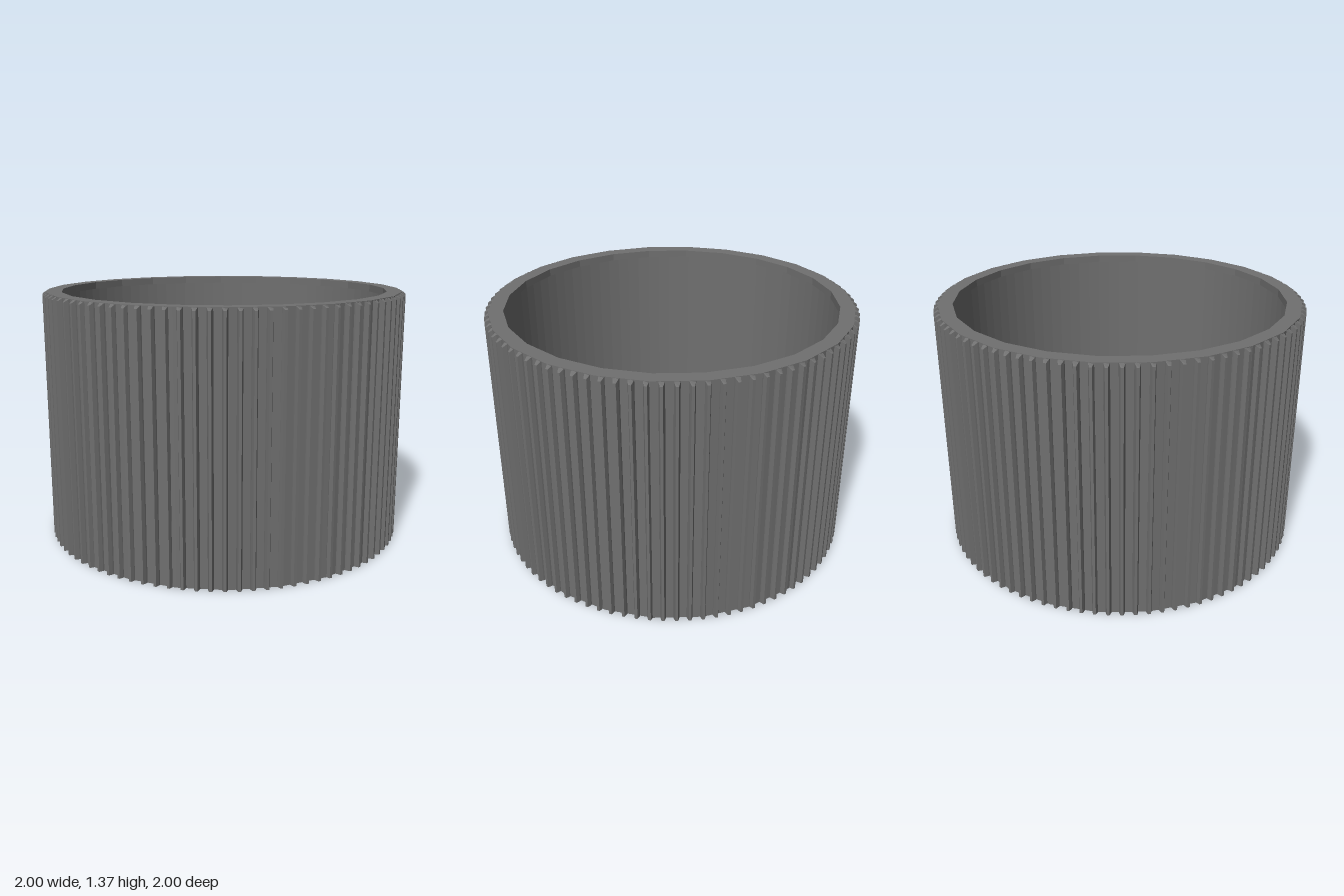
import * as THREE from 'three';
import { mergeGeometries } from 'three/addons/utils/BufferGeometryUtils.js';

const HEIGHT = 1.365, LIP = 0.04, RIBS = 90;

// Regular polygon with a corner on each axis
function polygon(radius, sides) {
  return Array.from({ length: sides }, (_, i) => {
    const a = (i / sides) * Math.PI * 2;
    return new THREE.Vector2(Math.cos(a) * radius, Math.sin(a) * radius);
  });
}

// Upright ring between two polygons
function ring(outer, inner, y0, y1) {
  const shape = new THREE.Shape(outer);
  shape.holes.push(new THREE.Path(inner));
  const geo = new THREE.ExtrudeGeometry(shape, { depth: y1 - y0, bevelEnabled: false });
  return geo.rotateX(-Math.PI / 2).translate(0, y0, 0);
}

// One tapered grip rib with a sloped top end
function ribGeometry() {
  const shape = new THREE.Shape([[-0.017, 0.96], [0.017, 0.96], [0.014, 0.98], [0.007, 1], [-0.007, 1], [-0.014, 0.98]]
    .map(([x, y]) => new THREE.Vector2(x, y)));
  const geo = new THREE.ExtrudeGeometry(shape, { depth: HEIGHT - 0.002, bevelEnabled: false });
  geo.rotateX(-Math.PI / 2);
  const p = geo.attributes.position;
  for (let i = 0; i < p.count; i++) {
    if (p.getY(i) > 1 && p.getZ(i) < -0.99) p.setY(i, HEIGHT - 0.015);
  }
  geo.computeVertexNormals();
  return geo;
}

export function createModel() {
  const group = new THREE.Group();
  const grey = new THREE.MeshStandardMaterial({ color: 0x707070, flatShading: true });
  grey.name = 'dark grey';

  const add = (name, geo) => {
    const mesh = new THREE.Mesh(geo, grey);
    mesh.name = name;
    group.add(mesh);
  };

  // Thin wall, and the thicker lip around its top
  const outer = polygon(0.98, 24);
  add('wall', ring(outer, polygon(0.94, RIBS), 0, HEIGHT - LIP));
  add('topLip', ring(outer, polygon(0.9, 24), HEIGHT - LIP, HEIGHT));

  // Grip ribs all around the outside
  const rib = ribGeometry();
  const ribs = [];
  for (let i = 0; i < RIBS; i++) {
    ribs.push(rib.clone().rotateY(((i + 0.5) / RIBS) * Math.PI * 2));
  }
  add('gripRibs', mergeGeometries(ribs));
  return group;
}
